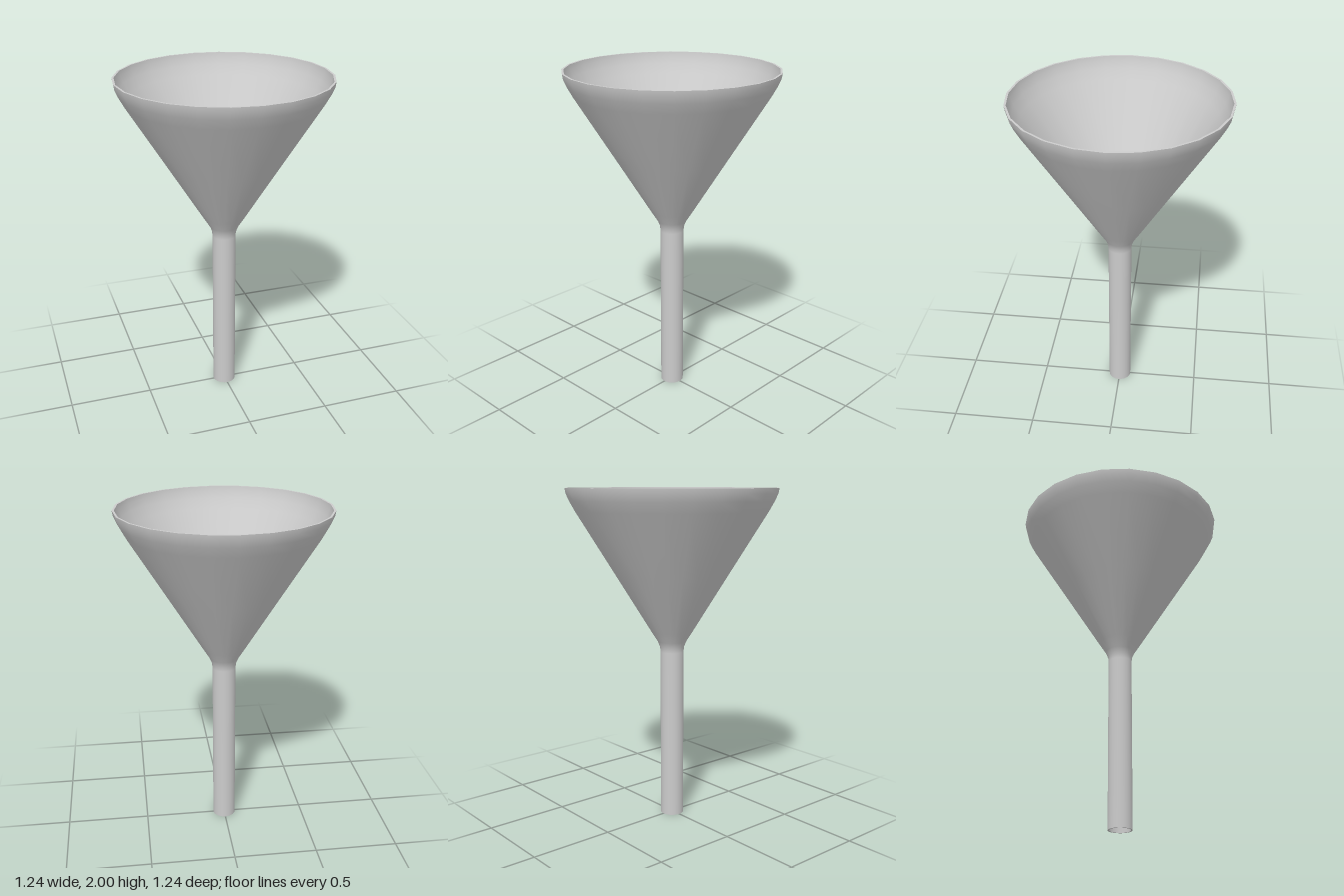
import * as THREE from 'three';

const SIDES = 24;
const material = new THREE.MeshStandardMaterial({ color: 0xcccccc });

// Revolve a [radius, height] profile around the y axis
function revolve(name, profile) {
  const points = profile.map(([r, y]) => new THREE.Vector2(r, y));
  const mesh = new THREE.Mesh(new THREE.LatheGeometry(points, SIDES), material);
  mesh.name = name;
  return mesh;
}

export function createModel() {
  const group = new THREE.Group();
  group.name = 'funnel';

  // Outside: straight stem, soft neck, cone and upright lip
  const outer = [
    [0.07, 0], [0.07, 1.03], [0.073, 1.06], [0.087, 1.095], [0.125, 1.155],
    [0.34, 1.505], [0.565, 1.87], [0.598, 1.93], [0.615, 1.97], [0.62, 2],
  ];
  // Inside: the same shape, thinner by the wall, running downwards
  const inner = [
    [0.608, 2], [0.603, 1.972], [0.587, 1.932], [0.555, 1.873], [0.33, 1.508],
    [0.115, 1.158], [0.078, 1.098], [0.065, 1.062], [0.062, 1.03], [0.062, 0],
  ];

  group.add(
    revolve('outerWall', outer),
    revolve('innerWall', inner),
    revolve('topRim', [outer.at(-1), inner[0]]),
    revolve('spoutRim', [inner.at(-1), outer[0]]),
  );
  return group;
}
